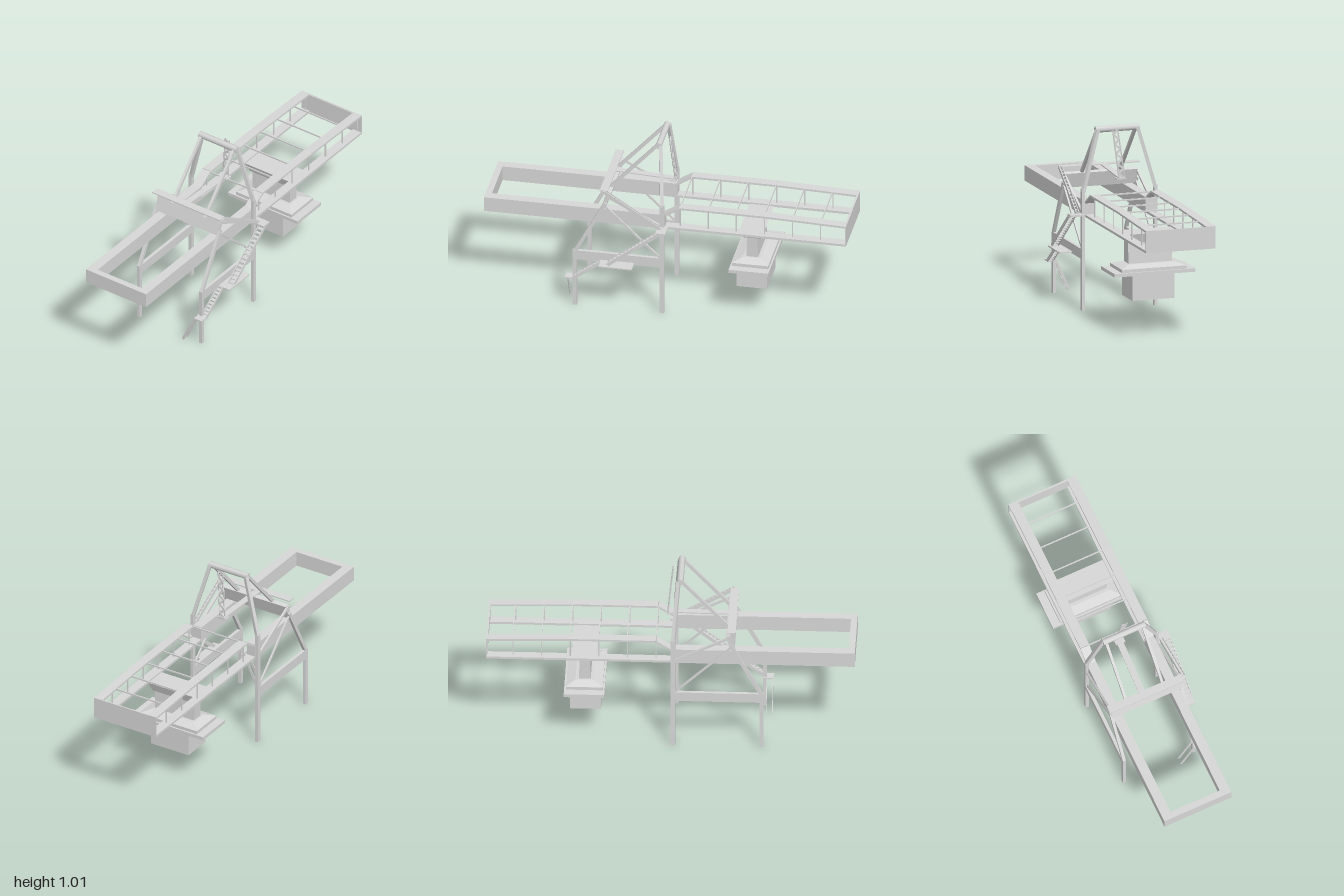
import * as THREE from 'three';

const ZC = -0.028; // centre plane of the gantry
const steel = new THREE.MeshStandardMaterial({ color: 0xd6d6d6, side: THREE.DoubleSide });
steel.name = 'light grey steel';

function add(parent, geo, name) {
  const m = new THREE.Mesh(geo, steel);
  m.name = name;
  parent.add(m);
  return m;
}

// axis-aligned box from its two extremes
function block(parent, name, x0, x1, y0, y1, z0, z1) {
  const m = add(parent, new THREE.BoxGeometry(x1 - x0, y1 - y0, z1 - z0), name);
  m.position.set((x0 + x1) / 2, (y0 + y1) / 2, (z0 + z1) / 2);
  return m;
}

// straight bar between two points, w sideways and h in the upright plane
function beam(parent, name, a, b, w, h) {
  const A = new THREE.Vector3(...a), B = new THREE.Vector3(...b);
  const m = add(parent, new THREE.BoxGeometry(w, h, A.distanceTo(B)), name);
  m.position.copy(A).add(B).multiplyScalar(0.5);
  m.lookAt(B);
  return m;
}

// box whose top and bottom differ in size
function taper(parent, name, x, y0, y1, bottom, top) {
  const g = new THREE.BoxGeometry(1, y1 - y0, 1).toNonIndexed();
  const p = g.attributes.position;
  for (let i = 0; i < p.count; i++) {
    const s = p.getY(i) > 0 ? top : bottom;
    p.setX(i, p.getX(i) * s[0]);
    p.setZ(i, p.getZ(i) * s[1]);
  }
  g.computeVertexNormals();
  add(parent, g, name).position.set(x, (y0 + y1) / 2, ZC);
}

function part(parent, name) {
  const g = new THREE.Group();
  g.name = name;
  parent.add(g);
  return g;
}

// flight with two stringers and treads; the width runs along z
function flight(parent, name, a, b, width, steps) {
  const g = part(parent, name);
  for (const s of [-0.5, 0.5]) {
    beam(g, 'stringer', [a[0], a[1], a[2] + s * width], [b[0], b[1], b[2] + s * width], 0.004, 0.018);
  }
  for (let i = 0; i <= steps; i++) {
    const t = i / steps;
    const x = a[0] + (b[0] - a[0]) * t, y = a[1] + (b[1] - a[1]) * t, z = a[2] + (b[2] - a[2]) * t;
    block(g, 'tread', x - 0.01, x + 0.01, y - 0.002, y + 0.002, z - width / 2, z + width / 2);
  }
}

export function createModel() {
  const root = new THREE.Group();
  root.name = 'gantryCrane';

  // boom: solid rear girders, open truss at the front
  const boom = part(root, 'boom');
  const stations = [0.08, 0.235, 0.39, 0.545, 0.70, 0.855, 0.993];
  const railY = x => (x <= 0.545 ? 0.652 : 0.652 - (x - 0.545) * 0.03);
  for (const s of [-1, 1]) {
    const zo = ZC + s * 0.2, zi = ZC + s * 0.147, zm = (zo + zi) / 2;
    const za = Math.min(zo, zi), zb = Math.max(zo, zi);
    block(boom, 'rearGirder', -1, 0, 0.52, 0.605, za, zb);
    block(boom, 'lowerRail', 0, 1, 0.52, 0.533, za, zb);
    const pts = [[-0.005, 0.598], [0.08, 0.652], [0.545, 0.652], [1, railY(1)]];
    for (let i = 0; i < 3; i++) {
      beam(boom, 'upperRail', [...pts[i], zm], [...pts[i + 1], zm], 0.053, 0.011);
    }
    for (const x of stations) {
      block(boom, 'post', x - 0.003, x + 0.003, 0.53, railY(x), zm - 0.003, zm + 0.003);
    }
  }
  for (const x of stations) {
    block(boom, 'crossBar', x - 0.003, x + 0.003, railY(x) - 0.005, railY(x) + 0.003, ZC - 0.15, ZC + 0.15);
  }
  block(boom, 'rearEnd', -1, -0.965, 0.52, 0.605, ZC - 0.2, ZC + 0.2);
  block(boom, 'frontEnd', 0.995, 1, 0.52, 0.643, ZC - 0.2, ZC + 0.2);

  // trolley, spreader and load
  const trolley = part(root, 'trolley');
  const tx = 0.468;
  taper(trolley, 'trolleyHead', tx, 0.475, 0.525, [0.1, 0.26], [0.135, 0.3]);
  taper(trolley, 'hoistColumn', tx, 0.35, 0.476, [0.065, 0.25], [0.055, 0.255]);
  taper(trolley, 'spreaderCap', tx, 0.34, 0.356, [0.2, 0.37], [0.1, 0.27]);
  block(trolley, 'spreaderSlab', tx - 0.1, tx + 0.1, 0.322, 0.34, ZC - 0.186, ZC + 0.186);
  block(trolley, 'spreaderPlate', tx - 0.11, tx + 0.11, 0.303, 0.322, ZC - 0.233, ZC + 0.233);
  block(trolley, 'container', tx - 0.088, tx + 0.081, 0.16, 0.303, ZC - 0.121, ZC + 0.121);

  // side frames
  for (const s of [-1, 1]) {
    const frame = part(root, s > 0 ? 'frontSideFrame' : 'rearSideFrame');
    const z = ZC + s * 0.208;
    const zTop = ZC + s * 0.115, zStay = ZC + s * 0.11;
    block(frame, 'innerLeg', -0.026, -0.002, 0, 0.67, z - 0.009, z + 0.009);
    beam(frame, 'mastLeg', [-0.014, 0.655, z], [-0.04, 0.99, zTop], 0.02, 0.02);
    block(frame, 'outerLeg', -0.506, -0.484, 0, 0.34, z - 0.009, z + 0.009);
    beam(frame, 'slopedLeg', [-0.496, 0.33, z], [-0.325, 0.65, z], 0.017, 0.02);
    block(frame, 'sideBeam', -0.49, -0.02, 0.285, 0.34, z - 0.009, z + 0.009);
    beam(frame, 'brace', [-0.33, 0.63, z], [-0.025, 0.34, z], 0.01, 0.011);
    beam(frame, 'upperBrace', [-0.325, 0.695, z], [-0.015, 0.535, z], 0.012, 0.012);
    beam(frame, 'backStay', [-0.055, 0.99, zStay], [-0.325, 0.69, zStay], 0.015, 0.018);
  }

  // portal cross beams and rounded top bar
  const portal = part(root, 'portal');
  const topBar = add(portal, new THREE.CylinderGeometry(0.018, 0.018, 0.25, 8), 'topBar');
  topBar.rotation.x = Math.PI / 2;
  topBar.position.set(-0.05, 0.989, ZC);
  const knee = add(portal, new THREE.BoxGeometry(0.025, 0.085, 0.416), 'kneeBeam');
  knee.position.set(-0.325, 0.66, ZC);
  knee.rotation.z = -0.3;

  // upper walkways
  const walks = part(root, 'walkways');
  block(walks, 'kneeWalkway', -0.355, -0.31, 0.731, 0.737, -0.252, 0.2);
  beam(walks, 'midWalkway', [-0.33, 0.734, -0.045], [0.028, 0.728, -0.028], 0.036, 0.006);
  block(walks, 'ladderLanding', -0.01, 0.028, 0.72, 0.726, -0.055, 0.0);

  // mast ladder with zigzag lacing
  const ladder = part(walks, 'mastLadder');
  const at = (t, side) => [-0.005 + 0.027 * t, 0.99 - 0.265 * t, side * (0.014 + 0.003 * t) - 0.002 - 0.03 * t];
  for (const s of [-1, 1]) beam(ladder, 'ladderRail', at(0, s), at(1, s), 0.006, 0.006);
  for (let i = 0; i < 10; i++) {
    beam(ladder, 'lacing', at(i / 10, i % 2 ? 1 : -1), at((i + 1) / 10, i % 2 ? -1 : 1), 0.006, 0.012);
  }

  // access stairs on the front side
  const stairs = part(root, 'accessStairs');
  flight(stairs, 'lowerStair', [-0.5, 0.18, 0.2], [-0.345, 0.293, 0.2], 0.03, 9);
  flight(stairs, 'middleStair', [-0.3, 0.31, 0.242], [-0.015, 0.53, 0.242], 0.036, 14);
  flight(stairs, 'upperStair', [-0.02, 0.54, 0.21], [-0.33, 0.733, 0.2], 0.016, 14);
  block(stairs, 'lowerLanding', -0.35, -0.165, 0.29, 0.297, 0.185, 0.262);
  block(stairs, 'upperLanding', -0.035, 0.02, 0.528, 0.538, 0.178, 0.262);
  block(stairs, 'footLanding', -0.545, -0.485, 0.175, 0.182, 0.165, 0.216);
  for (const x of [-0.54, -0.506]) {
    beam(stairs, 'footLadder', [x, 0.182, 0.168], [x, 0.01, 0.087], 0.004, 0.014);
  }
  return root;
}
